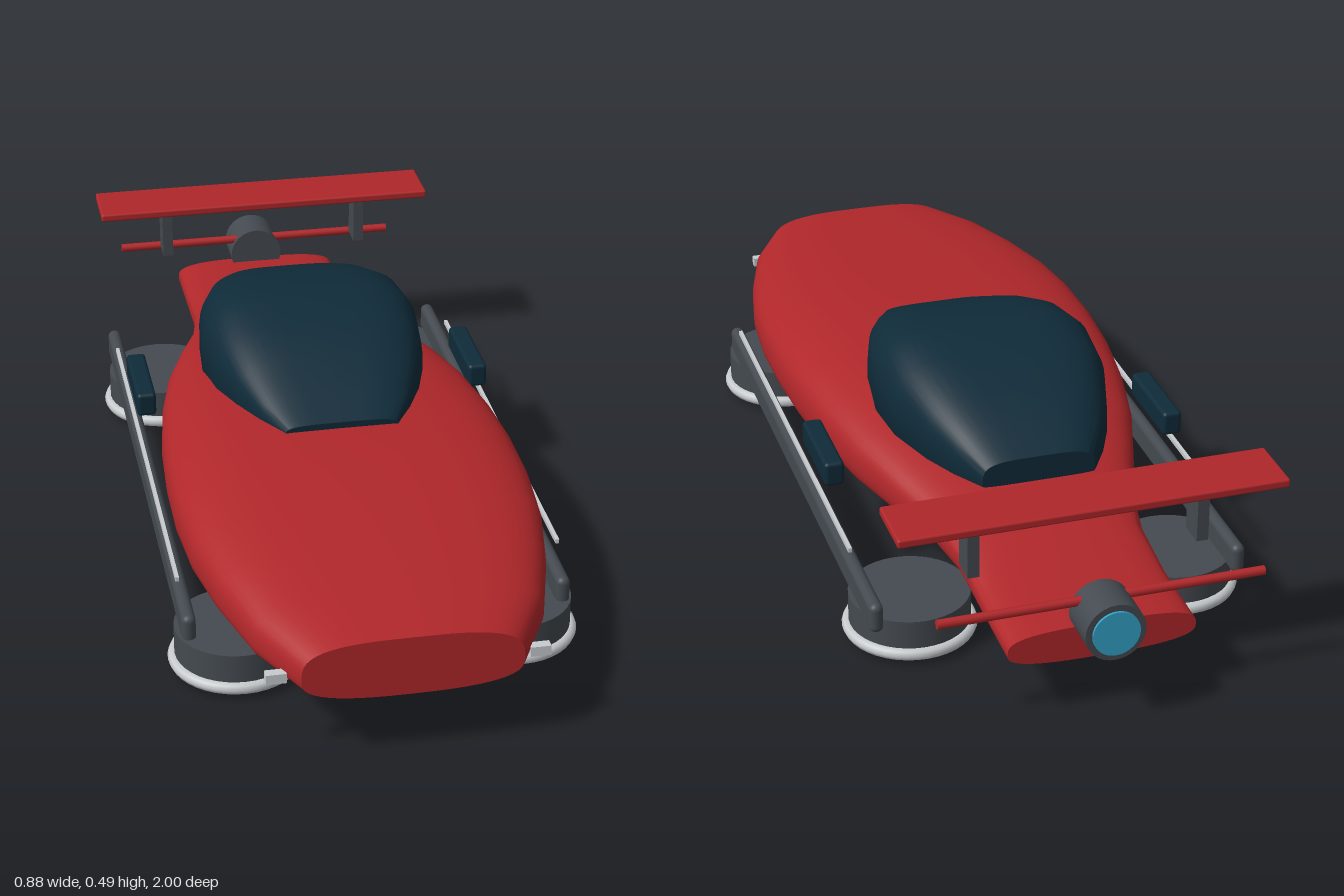
import * as THREE from 'three';
import { toCreasedNormals } from 'three/addons/utils/BufferGeometryUtils.js';
import { RoundedBoxGeometry } from 'three/addons/geometries/RoundedBoxGeometry.js';

const paint = (name, color) => {
  const m = new THREE.MeshStandardMaterial({ color });
  m.name = name;
  return m;
};

// Closed loft of superellipse sections, stations run from front to back.
// Station: [z, halfWidth, bottomY, midY, topY]; nTop / nBottom set the squareness.
function loft(stations, nTop, nBottom, steps = 48) {
  const pos = [], index = [];
  const pow = (v, n) => Math.sign(v) * Math.pow(Math.abs(v), 2 / n);
  for (const [z, w, bottom, mid, top] of stations) {
    for (let j = 0; j < steps; j++) {
      const a = (j / steps) * Math.PI * 2;
      const c = Math.cos(a), s = Math.sin(a);
      const up = s >= 0;
      const n = up ? nTop : nBottom;
      pos.push(w * pow(c, n), mid + (up ? top - mid : mid - bottom) * pow(s, n), z);
    }
  }
  const rows = stations.length;
  for (let i = 0; i < rows - 1; i++) {
    for (let j = 0; j < steps; j++) {
      const k = (j + 1) % steps;
      const a = i * steps + j, b = i * steps + k;
      index.push(a, a + steps, b, b, a + steps, b + steps);
    }
  }
  // End caps
  const front = pos.length / 3, back = front + 1;
  const first = stations[0], last = stations[rows - 1];
  pos.push(0, first[3], first[0], 0, last[3], last[0]);
  const base = (rows - 1) * steps;
  for (let j = 0; j < steps; j++) {
    const k = (j + 1) % steps;
    index.push(front, j, k, back, base + k, base + j);
  }
  const g = new THREE.BufferGeometry();
  g.setAttribute('position', new THREE.Float32BufferAttribute(pos, 3));
  g.setIndex(index);
  return toCreasedNormals(g, 0.6);
}

export function createModel() {
  const red = paint('red paint', 0xb0272a);
  const grey = paint('dark grey metal', 0x444a50);
  const silver = paint('silver trim', 0xc8cccf);
  const glow = paint('blue glow', 0x35a5cc);
  const glass = paint('dark glass', 0x0f2b39);

  const model = new THREE.Group();
  model.name = 'hoverCar';
  const add = (name, geometry, material, x = 0, y = 0, z = 0, parent = model) => {
    const mesh = new THREE.Mesh(geometry, material);
    mesh.name = name;
    mesh.position.set(x, y, z);
    parent.add(mesh);
    return mesh;
  };

  // Hull
  add('hull', loft([
    [1.0, 0.225, 0.145, 0.2, 0.278],
    [0.86, 0.3, 0.147, 0.205, 0.295],
    [0.7, 0.347, 0.146, 0.21, 0.312],
    [0.55, 0.377, 0.142, 0.216, 0.325],
    [0.4, 0.389, 0.138, 0.22, 0.336],
    [0.25, 0.388, 0.135, 0.222, 0.342],
    [0.1, 0.378, 0.132, 0.222, 0.339],
    [-0.05, 0.357, 0.13, 0.22, 0.33],
    [-0.2, 0.324, 0.13, 0.214, 0.312],
    [-0.35, 0.274, 0.13, 0.205, 0.286],
    [-0.48, 0.226, 0.13, 0.192, 0.26],
    [-0.6, 0.203, 0.13, 0.178, 0.232],
    [-0.75, 0.2, 0.125, 0.162, 0.206],
    [-0.92, 0.2, 0.122, 0.158, 0.2],
  ], 3.2, 2.7), red);

  // Canopy
  add('canopy', loft([
    [0.265, 0.125, 0.325, 0.335, 0.356],
    [0.19, 0.168, 0.315, 0.325, 0.392],
    [0.1, 0.208, 0.31, 0.318, 0.434],
    [0, 0.238, 0.305, 0.312, 0.471],
    [-0.12, 0.252, 0.3, 0.306, 0.492],
    [-0.24, 0.242, 0.3, 0.306, 0.478],
    [-0.36, 0.205, 0.3, 0.306, 0.438],
    [-0.44, 0.168, 0.3, 0.306, 0.402],
    [-0.51, 0.125, 0.3, 0.306, 0.358],
  ], 4, 4), glass);

  // Parts mirrored on both sides
  for (const [side, s] of [['left', 1], ['right', -1]]) {
    add(`${side}Rail`, new RoundedBoxGeometry(0.03, 0.068, 1.335, 4, 0.0145), grey, s * 0.399, 0.121, 0);
    add(`${side}TrimStrip`, new THREE.BoxGeometry(0.008, 0.01, 1.055), silver, s * 0.409, 0.187, 0.038);
    add(`${side}SidePod`, new RoundedBoxGeometry(0.044, 0.056, 0.21, 3, 0.009), glass, s * 0.388, 0.253, -0.18);
    add(`${side}Headlight`, new THREE.BoxGeometry(0.042, 0.022, 0.02), silver, s * 0.268, 0.187, 0.953);
    add(`${side}WingPost`, new THREE.BoxGeometry(0.025, 0.125, 0.06), grey, s * 0.243, 0.357, -0.8);

    // Hover pads
    for (const [end, z] of [['Front', 0.615], ['Rear', -0.538]]) {
      const pad = new THREE.Group();
      pad.name = `${side}${end}HoverPad`;
      pad.position.set(s * 0.295, 0, z);
      model.add(pad);
      add('padHousing', new THREE.CylinderGeometry(0.13, 0.13, 0.085, 40), grey, 0, 0.0585, 0, pad);
      add('padRing', new THREE.TorusGeometry(0.131, 0.0135, 8, 40), silver, 0, 0.0235, 0, pad).rotation.x = Math.PI / 2;
      add('padGlow', new THREE.CylinderGeometry(0.11, 0.11, 0.02, 40), glow, 0, 0.01, 0, pad);
    }
  }

  // Rear wing, cross bar and thruster
  add('rearWing', new RoundedBoxGeometry(0.82, 0.019, 0.14, 2, 0.005), red, 0, 0.425, -0.805);
  add('crossBar', new THREE.CylinderGeometry(0.01, 0.01, 0.69, 12), red, 0, 0.257, -0.916).rotation.z = Math.PI / 2;
  add('thruster', new THREE.CylinderGeometry(0.064, 0.064, 0.1, 32), grey, 0, 0.222, -0.945).rotation.x = Math.PI / 2;
  add('thrusterGlow', new THREE.CylinderGeometry(0.05, 0.05, 0.009, 32), glow, 0, 0.222, -0.9955).rotation.x = Math.PI / 2;

  return model;
}
